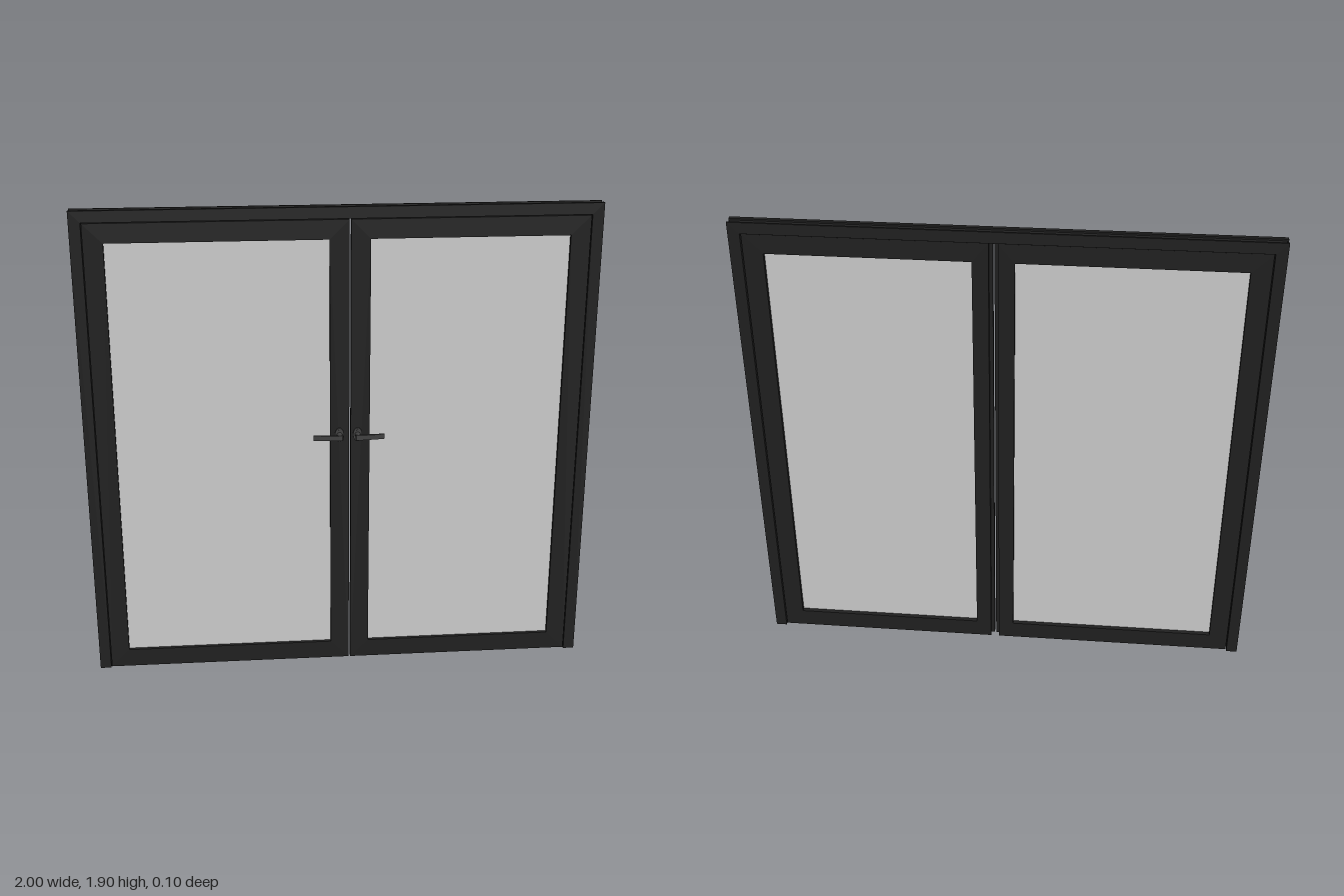
import * as THREE from 'three';

const dark = new THREE.MeshStandardMaterial({ color: 0x202020 });
const metal = new THREE.MeshStandardMaterial({ color: 0x404040 });
const glass = new THREE.MeshStandardMaterial({ color: 0xcccccc });

const W = 2, H = 1.905, FRONT = 0.003, BACK = -0.048;
const JAMB = 0.044, RAIL = 0.075;

function add(parent, name, geometry, material) {
  const mesh = new THREE.Mesh(geometry, material);
  mesh.name = name;
  parent.add(mesh);
  return mesh;
}

// Box given by its lower and upper limits
function slab(parent, name, material, x0, x1, y0, y1, z0, z1) {
  const mesh = add(parent, name, new THREE.BoxGeometry(x1 - x0, y1 - y0, z1 - z0), material);
  mesh.position.set((x0 + x1) / 2, (y0 + y1) / 2, (z0 + z1) / 2);
}

function rectPath(path, x0, x1, y0, y1) {
  path.moveTo(x0, y0);
  path.lineTo(x1, y0);
  path.lineTo(x1, y1);
  path.lineTo(x0, y1);
  path.closePath();
  return path;
}

// Rectangular ring with one opening, extruded from z0 to z1
function ring(parent, name, [x0, x1, y0, y1], opening, z0, z1) {
  const shape = rectPath(new THREE.Shape(), x0, x1, y0, y1);
  shape.holes.push(rectPath(new THREE.Path(), ...opening));
  const geometry = new THREE.ExtrudeGeometry(shape, { depth: z1 - z0, bevelEnabled: false });
  geometry.translate(0, 0, z0);
  return add(parent, name, geometry, dark);
}

// Three-sided surround, open at the floor; inset makes the groove round its outside
function surround(parent, name, inset, z0, z1) {
  const o = W / 2 - inset, i = W / 2 - JAMB, top = H - inset, head = H - JAMB;
  const shape = new THREE.Shape([
    [-o, 0], [-i, 0], [-i, head], [i, head], [i, 0], [o, 0], [o, top], [-o, top],
  ].map(([x, y]) => new THREE.Vector2(x, y)));
  const geometry = new THREE.ExtrudeGeometry(shape, { depth: z1 - z0, bevelEnabled: false });
  geometry.translate(0, 0, z0);
  add(parent, name, geometry, dark);
}

// Door leaf: front flange, back body stepped in at the meeting edge, and a pane
function leaf(name, x0, x1, meetingSide) {
  const group = new THREE.Group();
  group.name = name;
  const y0 = 0.005, y1 = 1.858, mid = -0.02, step = 0.014;
  const opening = [x0 + RAIL, x1 - RAIL, y0 + RAIL, y1 - RAIL];
  const bx0 = meetingSide < 0 ? x0 + step : x0;
  const bx1 = meetingSide > 0 ? x1 - step : x1;
  ring(group, 'leafFrontFrame', [x0, x1, y0, y1], opening, mid, FRONT - 0.001);
  ring(group, 'leafBackFrame', [bx0, bx1, y0, y1], opening, BACK + 0.006, mid);
  const [gx0, gx1, gy0, gy1] = opening;
  slab(group, 'glassPane', glass, gx0, gx1, gy0, gy1, -0.024, -0.012);
  return group;
}

// Lever handle pointing along +x, turned round by dir = -1
function handle(name, x, dir) {
  const group = new THREE.Group();
  group.name = name;
  const rose = add(group, 'rosette', new THREE.CylinderGeometry(1, 1, 0.007, 24), metal);
  rose.rotation.x = Math.PI / 2;
  rose.scale.set(0.018, 1, 0.028);
  rose.position.z = FRONT + 0.003;
  const post = add(group, 'spindle', new THREE.CylinderGeometry(0.009, 0.012, 0.036, 20), metal);
  post.rotation.x = Math.PI / 2;
  post.position.z = 0.023;
  for (const s of [-1, 1]) {
    const screw = add(group, 'screw', new THREE.CylinderGeometry(0.004, 0.004, 0.003, 12), metal);
    screw.rotation.x = Math.PI / 2;
    screw.position.set(0, s * 0.019, 0.01);
  }
  // Lever outline seen from above, with a gentle bow toward the tip
  const s = new THREE.Shape();
  s.moveTo(-0.012, 0.037);
  s.quadraticCurveTo(0.05, 0.037, 0.104, 0.031);
  s.lineTo(0.104, 0.037);
  s.quadraticCurveTo(0.05, 0.047, -0.008, 0.048);
  s.lineTo(-0.012, 0.044);
  const geometry = new THREE.ExtrudeGeometry(s, { depth: 0.02, bevelEnabled: false, curveSegments: 10 });
  geometry.translate(0, 0, -0.01);
  geometry.rotateX(Math.PI / 2);
  add(group, 'lever', geometry, metal);
  if (dir < 0) group.rotation.z = Math.PI;
  group.position.set(x, 1.005, 0);
  return group;
}

export function createModel() {
  const model = new THREE.Group();
  model.name = 'doubleGlassDoor';

  // Fixed frame with a shallow groove round its outer edge
  const frame = new THREE.Group();
  frame.name = 'doorFrame';
  surround(frame, 'frameFront', 0, -0.014, FRONT);
  surround(frame, 'frameGroove', 0.006, -0.04, -0.014);
  surround(frame, 'frameBack', 0, BACK, -0.04);
  model.add(frame);

  // Two leaves meeting slightly left of centre
  model.add(leaf('rightLeaf', -0.953, 0.035, 1));
  model.add(leaf('leftLeaf', 0.041, 0.953, -1));

  // Levers point away from each other
  model.add(handle('rightHandle', -0.004, -1));
  model.add(handle('leftHandle', 0.068, 1));
  return model;
}
